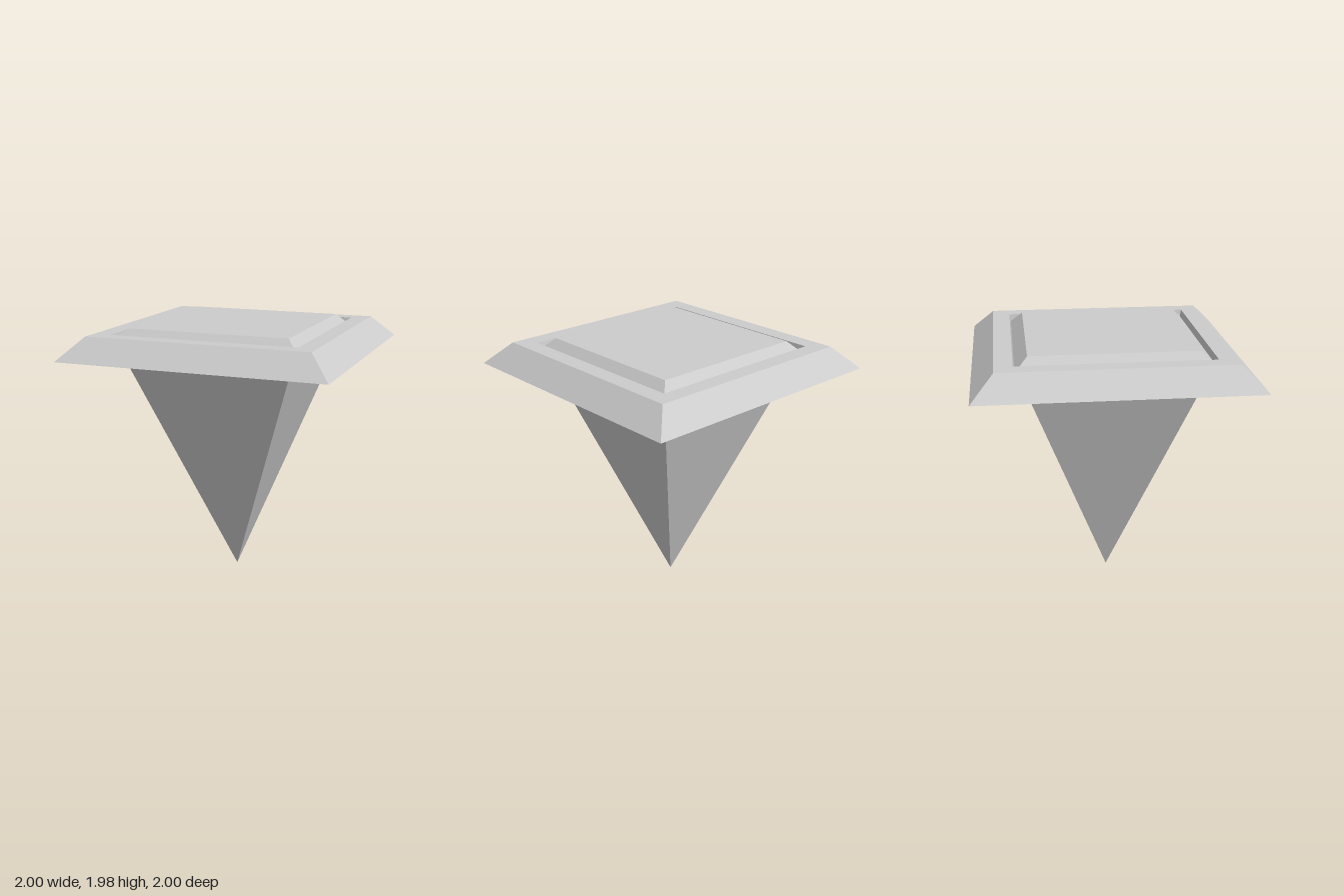
import * as THREE from 'three';

const material = new THREE.MeshStandardMaterial({ color: 0xcccccc, flatShading: true });

// Square solid from a profile of [half width, height] pairs, listed bottom to top
function squareLathe(name, profile) {
  const points = profile.map(([w, y]) => new THREE.Vector2(w * Math.SQRT2, y));
  const geometry = new THREE.LatheGeometry(points, 4, Math.PI / 4).toNonIndexed();
  geometry.computeVertexNormals();
  const mesh = new THREE.Mesh(geometry, material);
  mesh.name = name;
  return mesh;
}

export function createModel() {
  const group = new THREE.Group();
  group.name = 'squareStud';

  // Four-sided pointed shank
  group.add(squareLathe('spike', [[0, 0], [0.635, 1.766]]));

  // Bevelled head: slightly dished underside, sloping rim, flat border, groove wall
  group.add(squareLathe('headRim', [
    [0, 1.766], [0.85, 1.766], [1, 1.776], [0.835, 1.942], [0.705, 1.942], [0.695, 1.89],
  ]));

  // Raised centre panel with chamfered edges rising out of the groove
  group.add(squareLathe('centrePanel', [[0.695, 1.89], [0.605, 1.98], [0, 1.98]]));

  return group;
}
